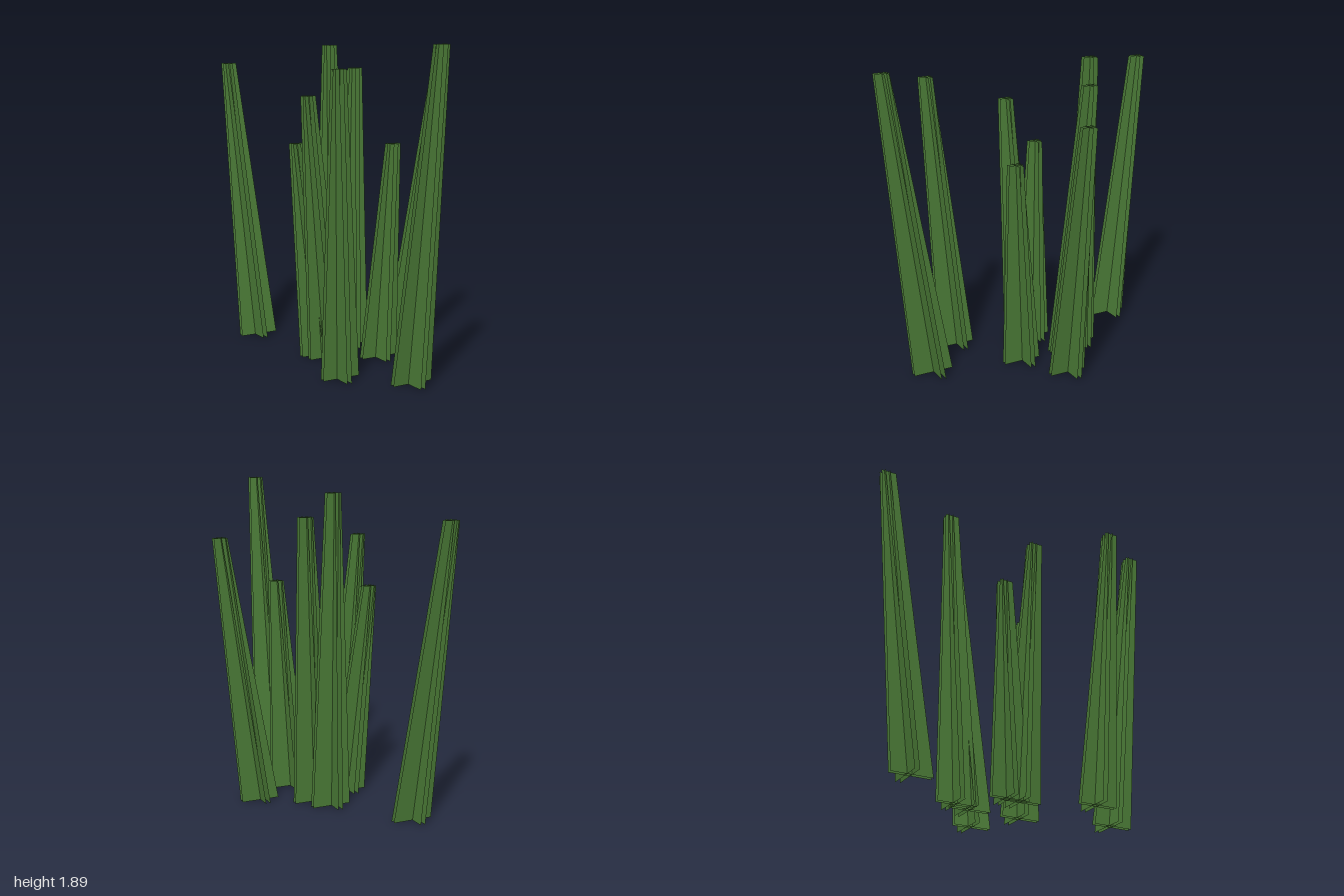
import * as THREE from 'three';

const GAP = 0.028; // spacing between the two sheets of each pair

// One stalk per row: base x, base z, top x, top z, height, base width, top width
const STALKS = [
  [-0.395, -0.718, -0.465, -0.955, 1.755, 0.247, 0.09],
  [-0.43, 0.41, -0.503, 0.532, 1.76, 0.235, 0.085],
  [-0.137, 0.702, -0.125, 0.955, 1.895, 0.255, 0.09],
  [-0.08, -0.296, -0.057, -0.35, 1.875, 0.245, 0.09],
  [-0.02, -0.18, 0.078, -0.27, 1.735, 0.25, 0.09],
  [0.267, -0.02, 0.502, -0.01, 1.61, 0.237, 0.085],
  [-0.285, 0.0, -0.42, 0.035, 1.59, 0.24, 0.085],
  [-0.3, -0.08, -0.398, -0.157, 1.297, 0.235, 0.085],
  [-0.01, 0.15, 0.05, 0.215, 1.305, 0.245, 0.09],
];

// Tapered, leaning upright sheet, running along x or along z
function sheet(material, [bx, bz, tx, tz, height, baseWidth, topWidth], alongX, offset) {
  const geometry = new THREE.PlaneGeometry(1, height);
  geometry.translate(0, height / 2, 0);
  const pos = geometry.attributes.position;
  for (let i = 0; i < pos.count; i++) {
    const t = pos.getY(i) / height;
    const across = pos.getX(i) * THREE.MathUtils.lerp(baseWidth, topWidth, t);
    const cx = THREE.MathUtils.lerp(bx, tx, t);
    const cz = THREE.MathUtils.lerp(bz, tz, t);
    if (alongX) pos.setXYZ(i, cx + across, pos.getY(i), cz + offset);
    else pos.setXYZ(i, cx + offset, pos.getY(i), cz - across);
  }
  geometry.computeVertexNormals();
  const mesh = new THREE.Mesh(geometry, material);
  mesh.name = alongX ? 'wideBlade' : 'crossBlade';
  return mesh;
}

export function createModel() {
  const model = new THREE.Group();
  model.name = 'reedClump';
  const green = new THREE.MeshStandardMaterial({ color: 0x4a7a36, side: THREE.DoubleSide });

  // Each stalk is two pairs of sheets crossing at right angles
  STALKS.forEach((row, i) => {
    const stalk = new THREE.Group();
    stalk.name = `stalk${i + 1}`;
    for (const alongX of [true, false]) {
      for (const offset of [0, -GAP]) stalk.add(sheet(green, row, alongX, offset));
    }
    model.add(stalk);
  });
  return model;
}
